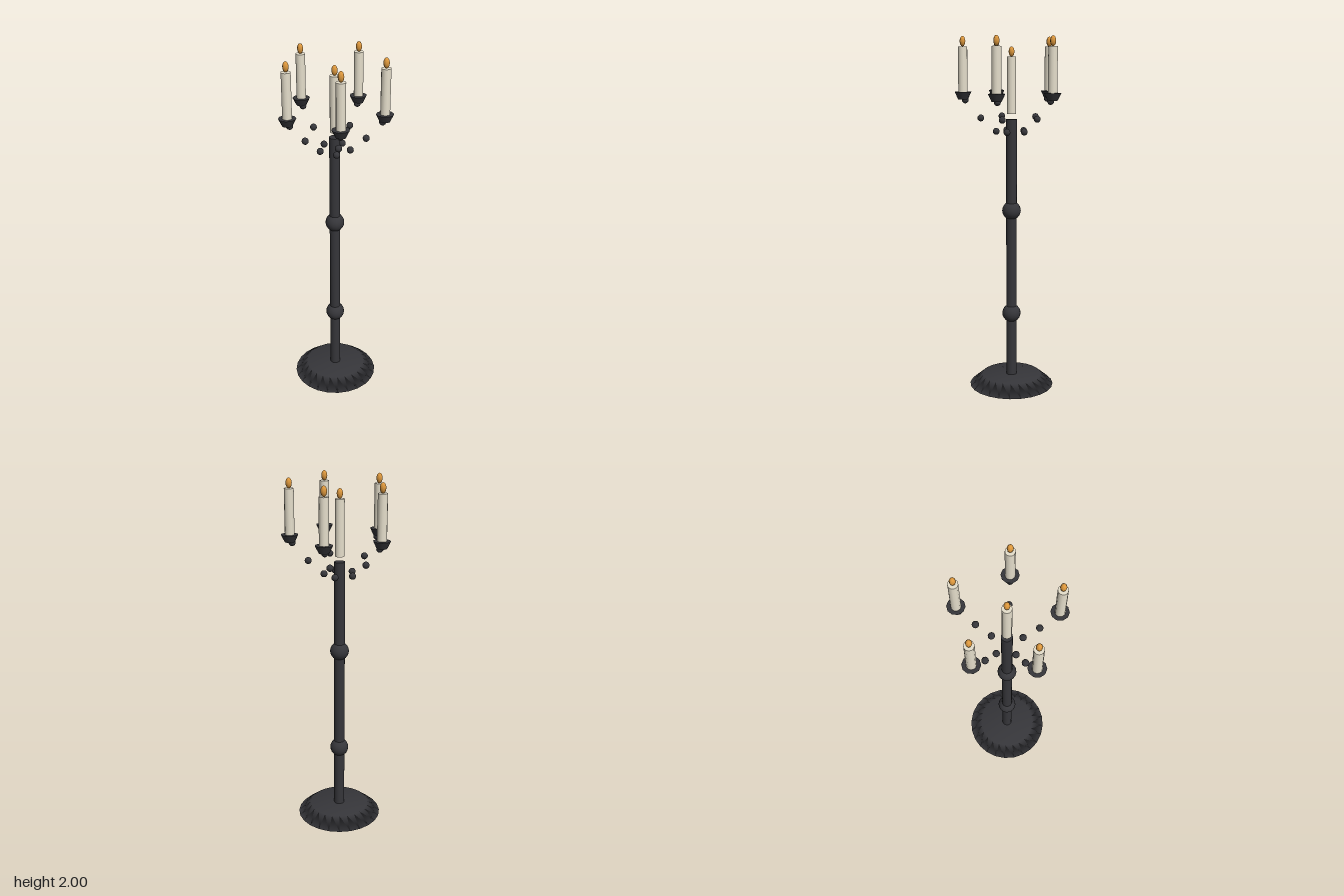
import * as THREE from 'three';

const iron = new THREE.MeshStandardMaterial({ color: 0x36363a });
const wax = new THREE.MeshStandardMaterial({ color: 0xe6dfcc });
const fire = new THREE.MeshStandardMaterial({ color: 0xe09a3e });

function add(parent, name, geometry, material, x, y, z = 0) {
  const mesh = new THREE.Mesh(geometry, material);
  mesh.name = name;
  mesh.position.set(x, y, z);
  parent.add(mesh);
  return mesh;
}

// Candle standing on y = bottom, with a teardrop-like flame on top
function addCandle(parent, x, bottom, z, height) {
  const candle = new THREE.Group();
  candle.name = 'candle';
  candle.position.set(x, bottom, z);
  add(candle, 'wax', new THREE.CylinderGeometry(0.026, 0.026, height, 12), wax, 0, height / 2);
  const flame = add(candle, 'flame', new THREE.SphereGeometry(0.0165, 8, 8), fire, 0, height + 0.0275);
  flame.scale.y = 1.7;
  parent.add(candle);
}

export function createModel() {
  const model = new THREE.Group();
  model.name = 'candelabra';
  const stand = new THREE.Group();
  stand.name = 'stand';
  stand.position.x = -0.027;
  model.add(stand);

  // Bevelled foot
  const profile = [[0, 0], [0.242, 0], [0.17, 0.06], [0, 0.06]].map(p => new THREE.Vector2(...p));
  add(stand, 'base', new THREE.LatheGeometry(profile, 24), iron, 0, 0);

  // Pole with two round knobs
  add(stand, 'pole', new THREE.CylinderGeometry(0.03, 0.03, 1.495, 16), iron, 0, 0.8025);
  for (const y of [0.43, 1.035]) {
    add(stand, 'knob', new THREE.SphereGeometry(0.053, 16, 12), iron, 0, y);
  }

  // Centre candle
  addCandle(stand, 0, 1.58, 0, 0.31);

  // Five arms of rising beads, each ending in a cup and candle
  const beads = [[0.085, 1.483], [0.17, 1.557], [0.255, 1.656]];
  const reach = 0.267;
  for (let i = 0; i < 5; i++) {
    const a = (i * Math.PI * 2) / 5;
    const c = Math.cos(a), s = Math.sin(a);
    const arm = new THREE.Group();
    arm.name = 'arm';
    stand.add(arm);
    for (const [r, y] of beads) {
      add(arm, 'bead', new THREE.SphereGeometry(0.019, 12, 10), iron, c * r, y, s * r);
    }
    add(arm, 'cup', new THREE.CylinderGeometry(0.0475, 0.028, 0.04, 10), iron, c * reach, 1.68, s * reach);
    addCandle(arm, c * reach, 1.7, s * reach, 0.245);
  }
  return model;
}
